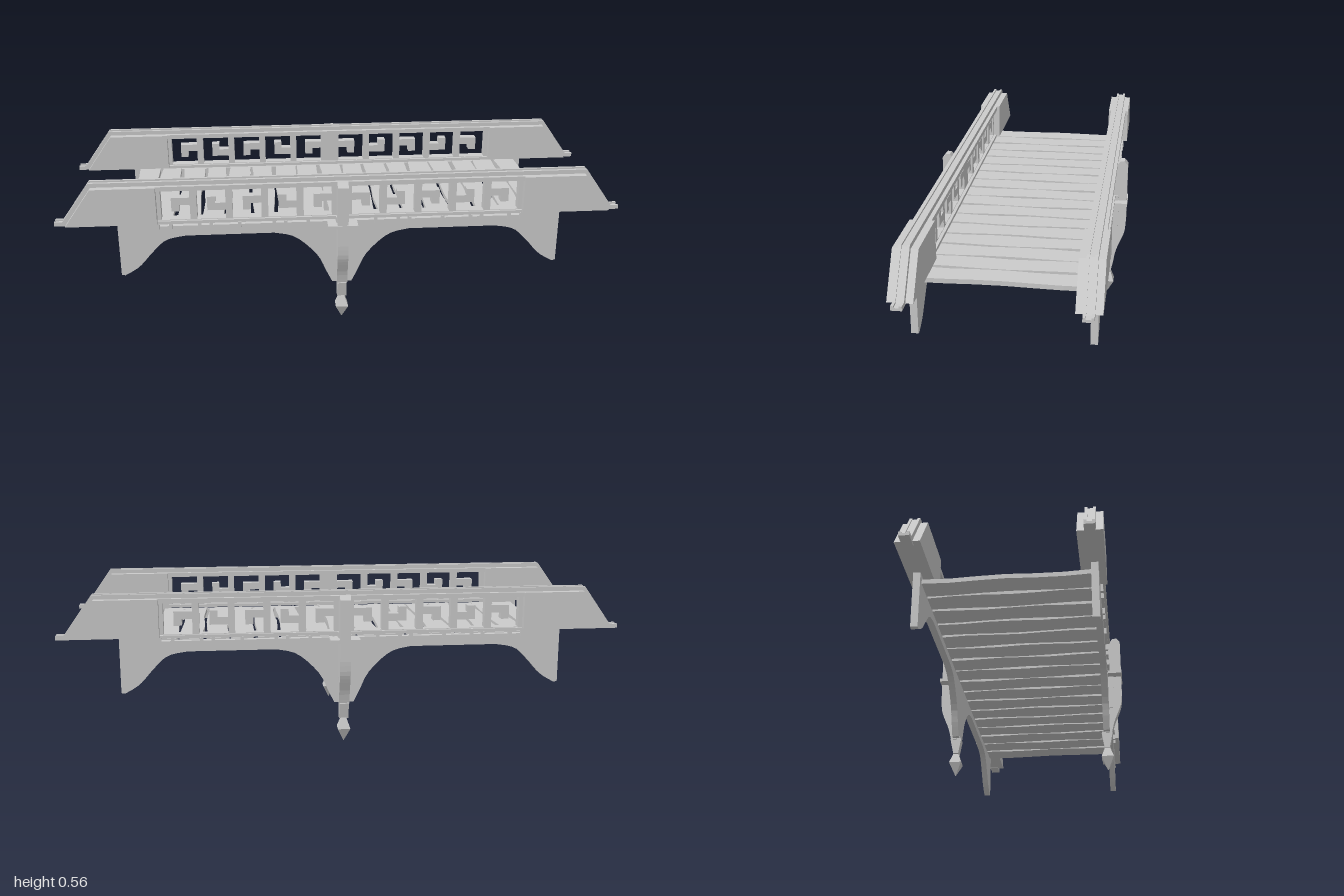
import * as THREE from 'three';

const mat = new THREE.MeshStandardMaterial({ color: 0xcccccc, flatShading: true });

function add(group, name, geometry) {
  const mesh = new THREE.Mesh(geometry, mat);
  mesh.name = name;
  group.add(mesh);
  return mesh;
}

function box(group, name, x0, x1, y0, y1, z0, z1) {
  const mesh = add(group, name, new THREE.BoxGeometry(x1 - x0, y1 - y0, z1 - z0));
  mesh.position.set((x0 + x1) / 2, (y0 + y1) / 2, (z0 + z1) / 2);
  return mesh;
}

const toPoints = (list) => list.map(([x, y]) => new THREE.Vector2(x, y));

// Plate with an x-y outline between two depths
function plate(outline, z0, z1, holes = []) {
  const shape = new THREE.Shape(toPoints(outline));
  for (const h of holes) shape.holes.push(new THREE.Path(toPoints(h)));
  const g = new THREE.ExtrudeGeometry(shape, { depth: z1 - z0, bevelEnabled: false });
  return g.translate(0, 0, z0);
}

// Post part with a z-y outline, centred on x = 0
function sidePlate(outline, width) {
  return plate(outline, -width / 2, width / 2).rotateY(-Math.PI / 2);
}

// Mirror a half outline (running from right to centre) into a full one
const mirrored = (half) => [...half, ...half.slice().reverse().map(([x, y]) => [-x, y])];

function curve(points, n) {
  return new THREE.SplineCurve(toPoints(points)).getPoints(n).map((p) => [p.x, p.y]);
}

// Angular spiral opening of the fretwork, in unit coordinates
const HOOK = [[0, 0], [1, 0], [1, 0.48], [0.64, 0.48], [0.64, 0.27], [0.36, 0.27],
  [0.36, 0.72], [1, 0.72], [1, 1], [0, 1]];

function createSide() {
  const side = new THREE.Group();

  // Fretwork balustrade: five hooked openings on each half
  const holes = [];
  for (let i = 0; i < 5; i++) {
    for (const s of [-1, 1]) {
      const x0 = 0.035 + i * 0.124;
      holes.push(HOOK.map(([u, v]) => [
        s * (x0 + (1 - u) * 0.1),
        0.412 + (i % 2 ? 1 - v : v) * 0.112,
      ]));
    }
  }
  add(side, 'fretwork', plate(mirrored([[0.66, 0.4], [0.66, 0.53]]), 0.266, 0.298, holes));
  box(side, 'upperFretRail', -0.65, 0.65, 0.524, 0.54, 0.25, 0.312);
  box(side, 'lowerFretRail', -0.65, 0.65, 0.399, 0.41, 0.255, 0.307);

  // Solid end panels with a sloping outer edge
  for (const s of [-1, 1]) {
    const outline = [[0.645, 0.405], [0.96, 0.405], [0.865, 0.54], [0.645, 0.54]];
    add(side, 'endPanel', plate(outline.map(([x, y]) => [s * x, y]), 0.24, 0.322));
  }

  // Capping rail: a core between two slightly taller ribs
  const cap = (h) => mirrored([
    [0.94, 0.4], [1, 0.4], [1, 0.4 + h], [0.972, 0.4 + h], [0.872, 0.54 + h], [0, 0.54 + h],
  ].slice(0, 5).concat([])).concat(
    [[-0.86, 0.53], [0.86, 0.53]]);
  add(side, 'capRailCore', plate(cap(0.009), 0.266, 0.297));
  for (const z of [0.264, 0.29]) add(side, 'capRailRib', plate(cap(0.015), z, z + 0.009));

  // Double arch with a leg at each end
  const arch = [
    [0.785, 0.405], [0.785, 0.205],
    ...curve([[0.772, 0.203], [0.72, 0.235], [0.67, 0.29], [0.62, 0.335], [0.55, 0.35]], 14),
    ...curve([[0.24, 0.35], [0.165, 0.33], [0.09, 0.26], [0.055, 0.19], [0.035, 0.15]], 14),
  ];
  const lower = mirrored([[0.65, 0.388], [0.65, 0.405], ...arch]);
  add(side, 'archPlate', plate(lower, 0.275, 0.299));

  // Small pegs hanging under the balustrade
  for (const x of [0.12, 0.2, 0.24, 0.36, 0.46, 0.5, 0.6, 0.645]) {
    for (const s of [-1, 1]) {
      box(side, 'peg', s * x - 0.006, s * x + 0.006, 0.378, 0.4, 0.297, 0.308);
    }
  }

  // Centre post: backing, curved face, clamp and tapered foot
  add(side, 'postBacking', sidePlate(
    [[0.29, 0.23], [0.299, 0.23], [0.3, 0.247], [0.32, 0.247], [0.32, 0.41], [0.29, 0.41]], 0.044));
  const post = [
    [0.285, 0.145], [0.295, 0.145],
    ...curve([[0.307, 0.145], [0.318, 0.19], [0.334, 0.23], [0.346, 0.265], [0.35, 0.31]], 10),
    [0.35, 0.53], [0.337, 0.545], [0.322, 0.545], [0.31, 0.53], [0.285, 0.53],
  ];
  add(side, 'post', sidePlate(post, 0.038));
  box(side, 'postClamp', -0.053, 0.053, 0.378, 0.39, 0.3, 0.353);
  add(side, 'postFoot', sidePlate(
    [[0.278, 0.088], [0.297, 0.088], [0.309, 0.145], [0.303, 0.16], [0.275, 0.16], [0.268, 0.145]], 0.034));

  // Four-sided pointed finial
  const finial = add(side, 'finial', new THREE.LatheGeometry(
    toPoints([[0, 0], [0.032, 0.05], [0.012, 0.092], [0, 0.092]]), 4));
  finial.geometry.rotateY(Math.PI / 4);
  finial.position.z = 0.288;
  return side;
}

// Deck of slightly uneven planks
function createDeck() {
  const deck = new THREE.Group();
  deck.name = 'deck';
  const count = 17, pitch = 1.53 / count;
  for (let i = 0; i < count; i++) {
    const x0 = -0.762 + i * pitch;
    const left = [], right = [];
    for (let k = 0; k <= 6; k++) {
      const z = -0.28 + (k * 0.56) / 6;
      left.push([x0 + 0.004 * Math.sin(i * 2.3 + k * 1.7), z]);
      right.push([x0 + pitch - 0.012 + 0.004 * Math.sin(i * 3.1 + k * 1.3 + 1), z]);
    }
    const g = plate([...left, ...right.reverse()], 0, 0.016);
    g.rotateX(Math.PI / 2).translate(0, 0.392, 0);
    add(deck, 'plank', g);
  }
  return deck;
}

export function createModel() {
  const model = new THREE.Group();
  model.name = 'footbridge';
  const front = createSide();
  front.name = 'frontSide';
  const back = createSide();
  back.name = 'backSide';
  back.rotation.y = Math.PI;
  model.add(front, back, createDeck());
  return model;
}
